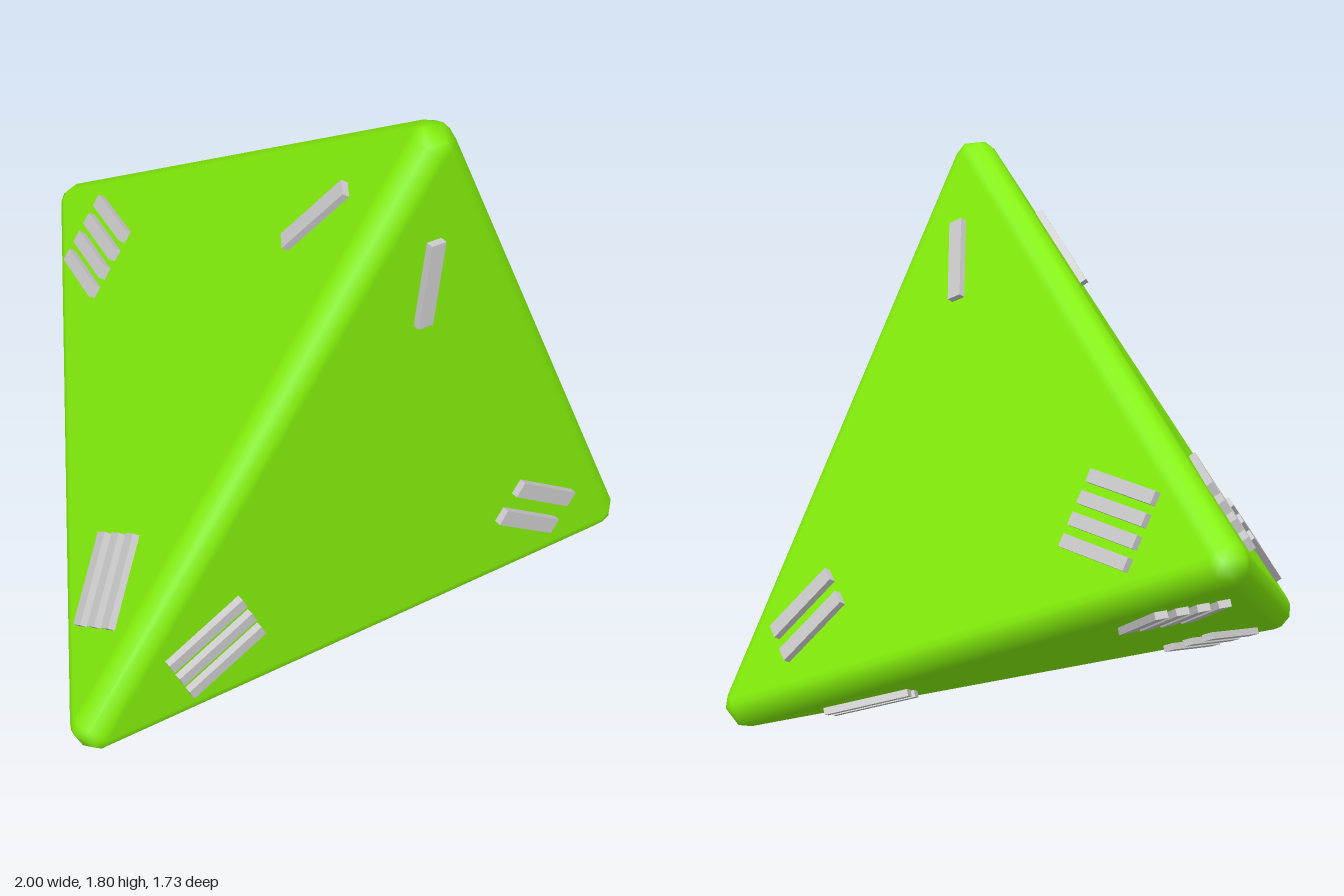
import * as THREE from 'three';
import { ConvexGeometry } from 'three/addons/geometries/ConvexGeometry.js';

const V = (x, y, z) => new THREE.Vector3(x, y, z);
const RADIUS = 0.07;      // rounding of edges and corners
const STEPS = 4;          // segments across each rounding

// Centres of the four corner roundings
const corners = [
  V(0.11, 1.75, 0.79),
  V(0.93, 0.08, 0.69),
  V(-0.93, 0.20, 0.73),
  V(0, 0.75, -0.80),
];

// One face opposite each corner: its three corner indices, outward normal and centroid
const faces = corners.map((opposite, i) => {
  const ids = [0, 1, 2, 3].filter((k) => k !== i);
  const [a, b, c] = ids.map((k) => corners[k]);
  const normal = b.clone().sub(a).cross(c.clone().sub(a)).normalize();
  if (normal.dot(opposite.clone().sub(a)) > 0) normal.negate();
  const centroid = a.clone().add(b).add(c).divideScalar(3);
  return { ids, normal, centroid };
});

// Rounded tetrahedron: hull of four spherical corner patches
function bodyGeometry() {
  const points = [];
  corners.forEach((corner, k) => {
    const [n0, n1, n2] = faces.filter((f) => f.ids.includes(k)).map((f) => f.normal);
    for (let i = 0; i <= STEPS; i++) {
      for (let j = 0; j <= STEPS - i; j++) {
        const dir = V(0, 0, 0).addScaledVector(n0, i).addScaledVector(n1, j)
          .addScaledVector(n2, STEPS - i - j).normalize();
        points.push(corner.clone().addScaledVector(dir, RADIUS));
      }
    }
  });
  const geometry = new ConvexGeometry(points);

  // Smooth normals point away from the nearest corner centre
  const pos = geometry.attributes.position;
  const p = V(0, 0, 0);
  for (let i = 0; i < pos.count; i++) {
    p.fromBufferAttribute(pos, i);
    const near = corners.reduce((m, c) => (c.distanceTo(p) < m.distanceTo(p) ? c : m));
    p.sub(near).normalize();
    geometry.attributes.normal.setXYZ(i, p.x, p.y, p.z);
  }
  return geometry;
}

// Raised tally of 1 to 4 bars, standing upright in its own xy plane
function tallyMark(count, material) {
  const mark = new THREE.Group();
  const width = count < 3 ? 0.05 : 0.04;
  const pitch = [0, 0.1, 0.08, 0.066][count - 1];
  const geometry = new THREE.BoxGeometry(width, 0.27, 0.04);
  for (let i = 0; i < count; i++) {
    const bar = new THREE.Mesh(geometry, material);
    bar.name = 'tallyBar';
    bar.position.x = (i - (count - 1) / 2) * pitch;
    mark.add(bar);
  }
  return mark;
}

export function createModel() {
  const model = new THREE.Group();
  model.name = 'fourSidedDie';

  const green = new THREE.MeshStandardMaterial({ color: 0x84f00a });
  const grey = new THREE.MeshStandardMaterial({ color: 0xcccccc });

  const body = new THREE.Mesh(bodyGeometry(), green);
  body.name = 'body';
  model.add(body);

  // A mark near each corner of each face, its top towards that corner
  for (const { ids, normal, centroid } of faces) {
    for (const k of ids) {
      const up = corners[k].clone().sub(centroid).normalize();
      const right = up.clone().cross(normal);
      const mark = tallyMark(k + 1, grey);
      mark.name = 'cornerMark';
      mark.quaternion.setFromRotationMatrix(new THREE.Matrix4().makeBasis(right, up, normal));
      mark.position.copy(corners[k]).addScaledVector(up, -0.39)
        .addScaledVector(normal, RADIUS + 0.002);
      model.add(mark);
    }
  }
  return model;
}
